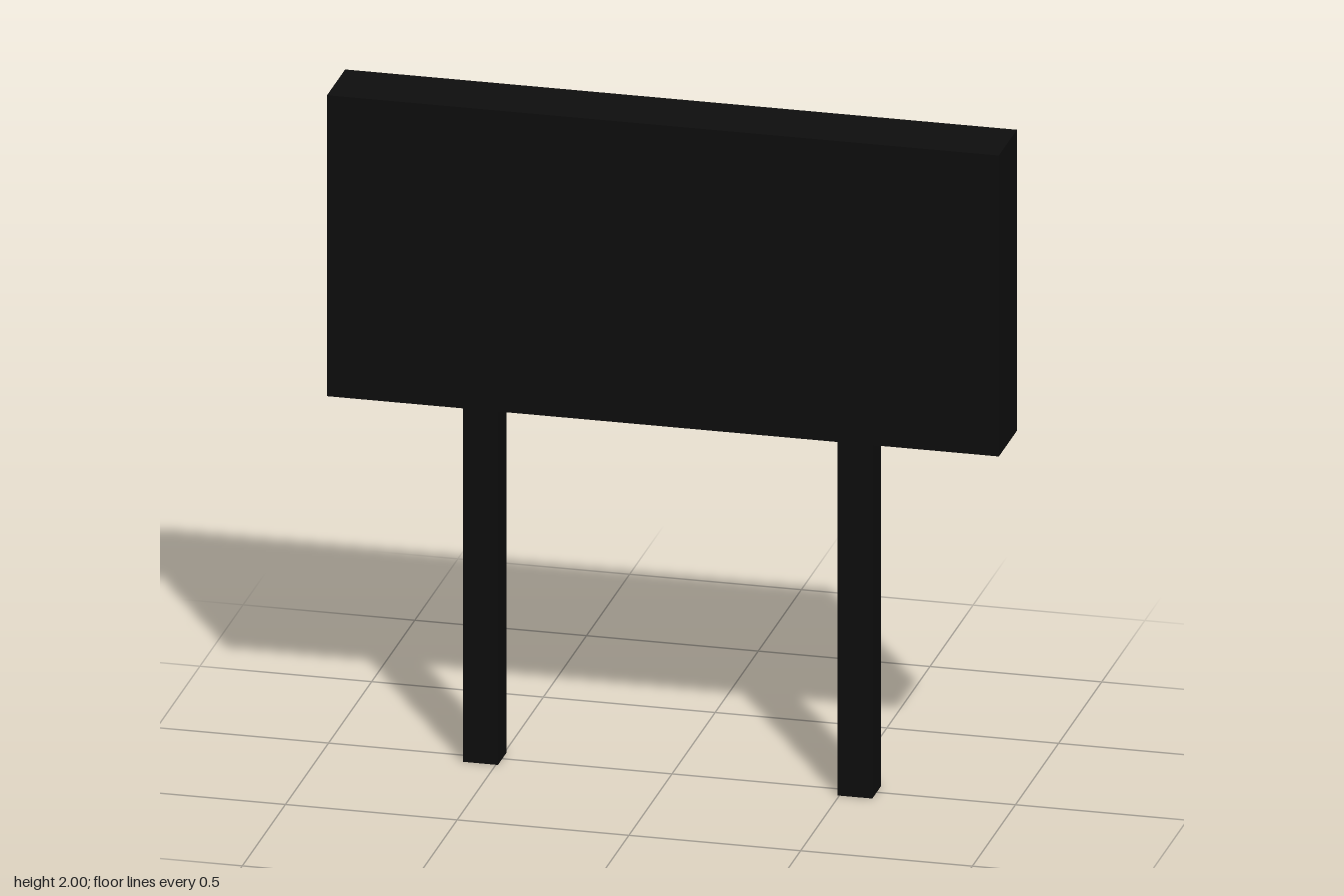
import * as THREE from 'three';

export function createModel() {
  const model = new THREE.Group();
  const black = new THREE.MeshStandardMaterial({ color: 0x0d0d0d });

  const addBox = (name, width, height, depth, x, bottom) => {
    const mesh = new THREE.Mesh(new THREE.BoxGeometry(width, height, depth), black);
    mesh.name = name;
    mesh.position.set(x, bottom + height / 2, 0);
    model.add(mesh);
  };

  // Wide sign board
  addBox('signBoard', 1.956, 0.91, 0.21, 0, 1.09);

  // Square posts, mirrored left and right, meeting the underside of the board
  for (const side of [1, -1]) {
    addBox(side > 0 ? 'leftPost' : 'rightPost', 0.102, 1.09, 0.102, side * 0.545, 0);
  }

  return model;
}
